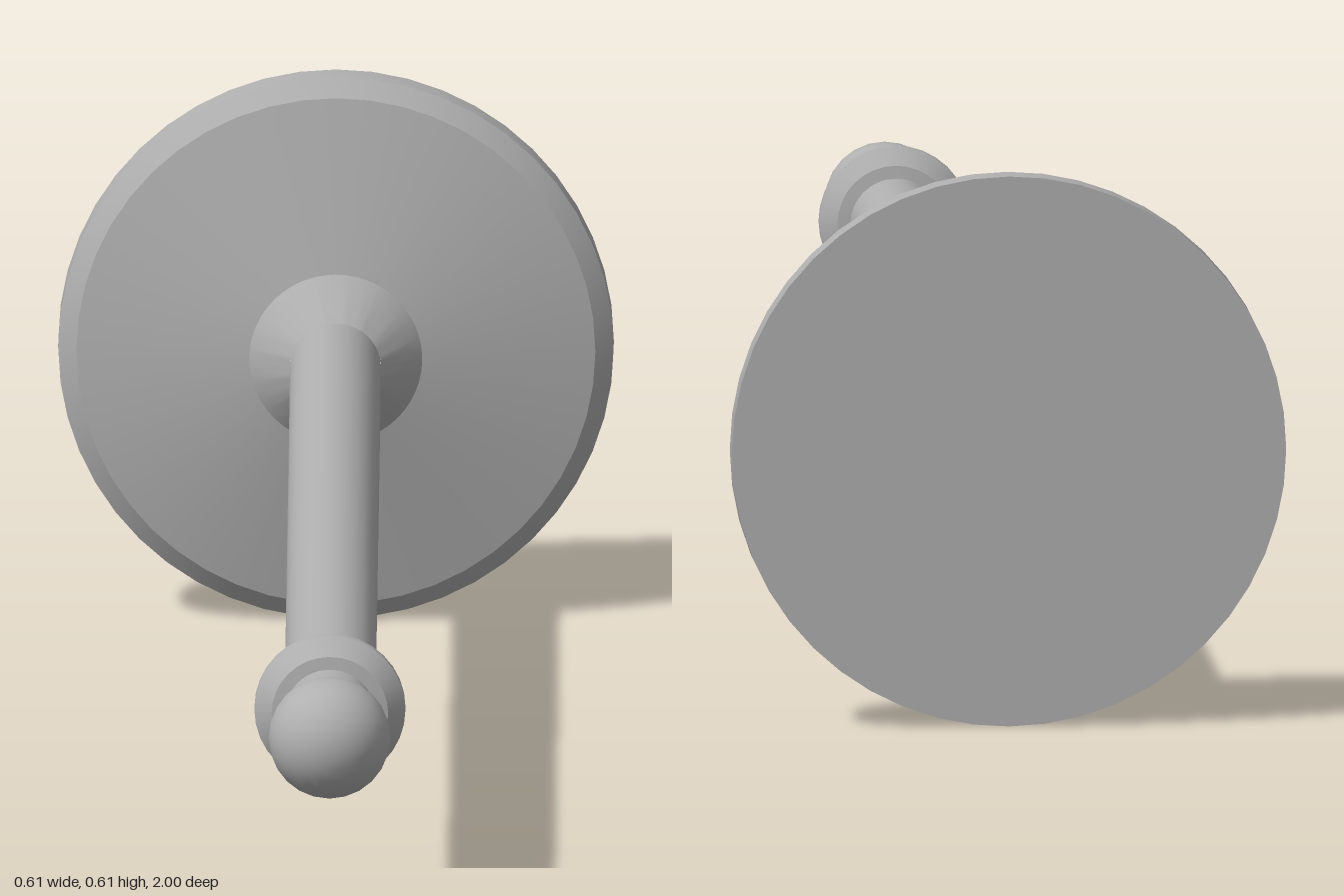
import * as THREE from 'three';
import { toCreasedNormals } from 'three/addons/utils/BufferGeometryUtils.js';

const AXIS_Y = 0.305; // height of the shared turning axis

export function createModel() {
  const group = new THREE.Group();
  group.name = 'wallPeg';
  const metal = new THREE.MeshStandardMaterial({ color: 0xb0b0b0 });
  metal.name = 'grey metal';

  // Turned part: profile of [radius, z] pairs running from back to front
  const turned = (name, profile, sides) => {
    const points = profile.map(([r, z]) => new THREE.Vector2(r, z));
    const lathe = new THREE.LatheGeometry(points, sides).rotateX(Math.PI / 2);
    const mesh = new THREE.Mesh(toCreasedNormals(lathe, 0.3), metal);
    mesh.name = name;
    mesh.position.y = AXIS_Y;
    group.add(mesh);
  };

  // Round mounting plate with bevelled rim, shallow cone and boss
  turned('mountingPlate', [
    [0, -1], [0.305, -1], [0.305, -0.963], [0.285, -0.946],
    [0.095, -0.908], [0.05, -0.865],
  ], 48);

  // Long rod, running on through the collar as the neck of the knob
  turned('rod', [[0.05, -0.87], [0.05, 0.875], [0.04, 0.89]], 24);

  // Bevelled collar near the tip
  turned('collar', [
    [0.05, 0.768], [0.064, 0.77], [0.083, 0.785], [0.083, 0.797],
    [0.064, 0.817], [0.05, 0.819],
  ], 32);

  // Ball knob
  const ball = new THREE.SphereGeometry(0.067, 24, 16).rotateX(Math.PI / 2);
  const knob = new THREE.Mesh(ball, metal);
  knob.name = 'ballKnob';
  knob.position.set(0, AXIS_Y, 0.933);
  group.add(knob);

  return group;
}
